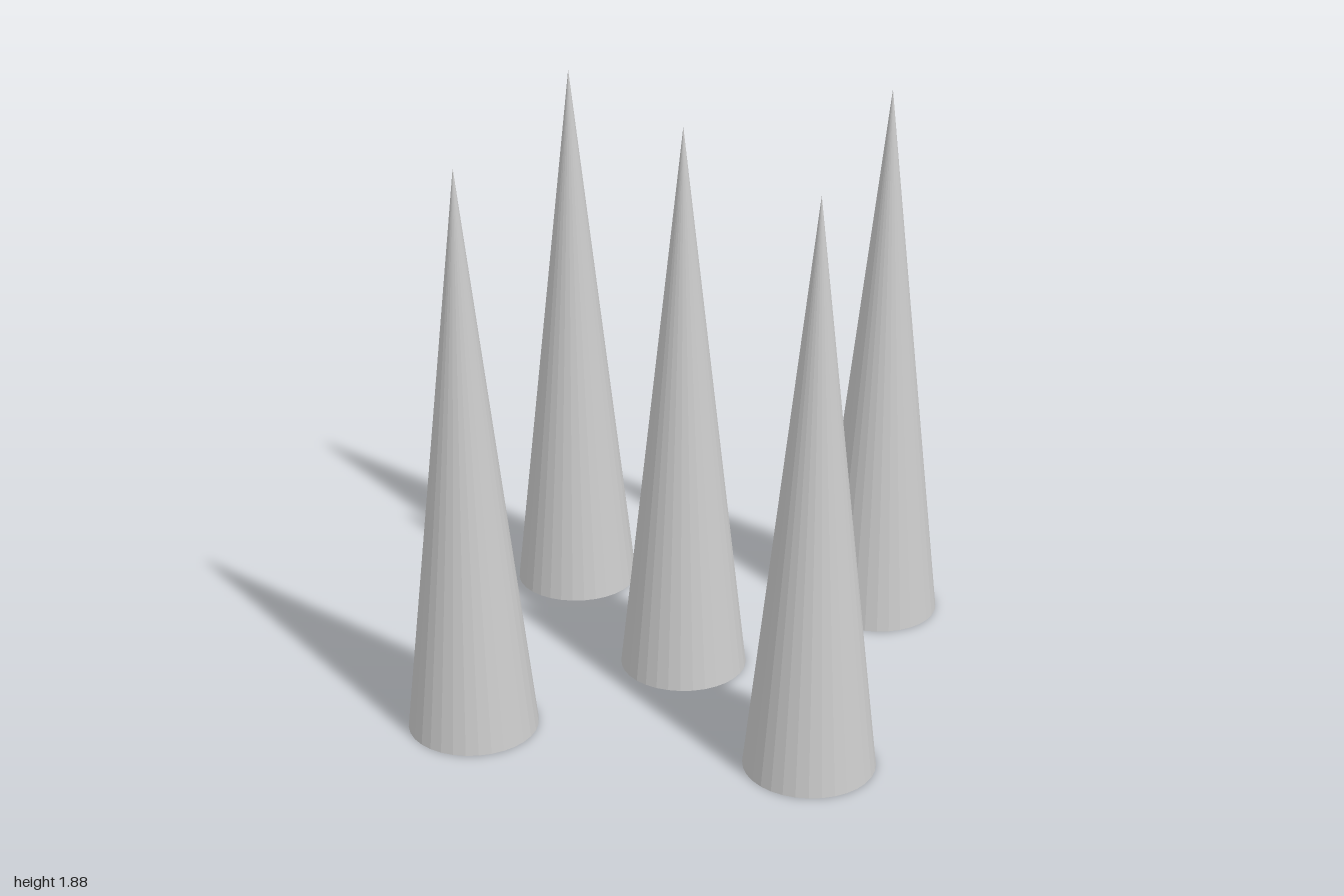
import * as THREE from 'three';

const RADIUS = 0.21;
const HEIGHT = 1.875;

export function createModel() {
  const model = new THREE.Group();
  model.name = 'spikeCluster';

  const material = new THREE.MeshStandardMaterial({ color: 0xcccccc, flatShading: true });

  // One closed cone, standing on the ground, shared by all spikes
  const cone = new THREE.ConeGeometry(RADIUS, HEIGHT, 32);
  cone.translate(0, HEIGHT / 2, 0);

  // Cross layout: one spike in the middle and one on each side
  const spikes = [
    ['centreSpike', 0, -0.012],
    ['leftSpike', 0.79, -0.012],
    ['rightSpike', -0.79, -0.012],
    ['frontSpike', 0, 0.753],
    ['backSpike', 0, -0.753],
  ];
  for (const [name, x, z] of spikes) {
    const spike = new THREE.Mesh(cone, material);
    spike.name = name;
    spike.position.set(x, 0, z);
    model.add(spike);
  }
  return model;
}
